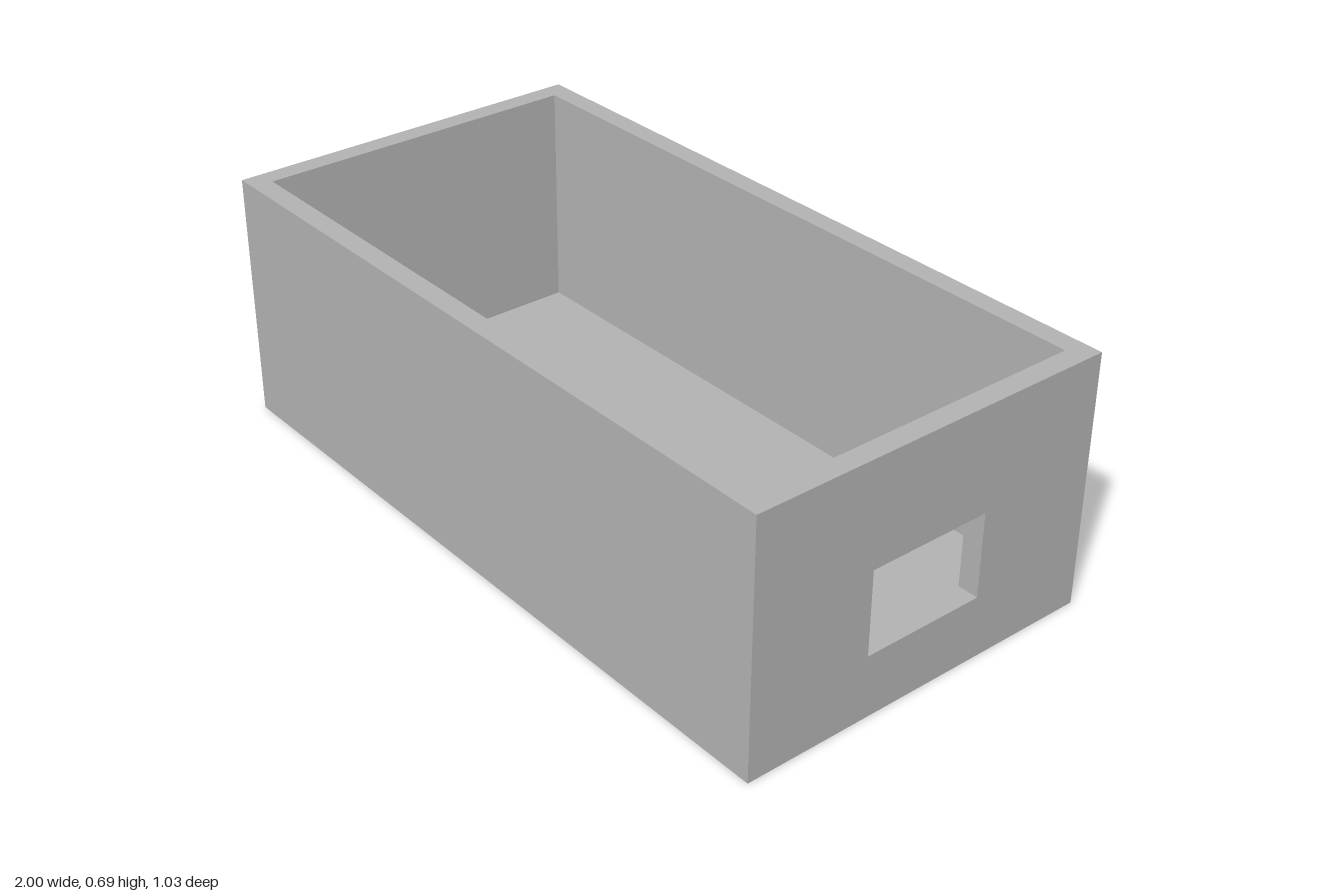
import * as THREE from 'three';

const U = 2 / 35; // wall thickness, the unit of all sizes
const L = 35 * U, H = 12 * U, W = 18 * U;

export function createModel() {
  const group = new THREE.Group();
  group.name = 'openBox';
  const grey = new THREE.MeshStandardMaterial({ color: 0xb2b2b2 });
  grey.name = 'grey';

  const add = (name, geometry, x, y, z) => {
    const mesh = new THREE.Mesh(geometry, grey);
    mesh.name = name;
    mesh.position.set(x, y, z);
    group.add(mesh);
  };

  // Floor slab with the walls standing on it
  const wallH = H - U, midY = U + wallH / 2;
  add('floor', new THREE.BoxGeometry(L, U, W), 0, U / 2, 0);
  for (const [name, s] of [['frontWall', 1], ['backWall', -1]]) {
    add(name, new THREE.BoxGeometry(L, wallH, U), 0, midY, s * (W - U) / 2);
  }
  add('rightEndWall', new THREE.BoxGeometry(U, wallH, W - 2 * U), -(L - U) / 2, midY, 0);

  // Left end wall with a rectangular opening
  const rect = (path, halfWidth, y0, y1) => path
    .moveTo(-halfWidth, y0).lineTo(halfWidth, y0)
    .lineTo(halfWidth, y1).lineTo(-halfWidth, y1).closePath();
  const shape = new THREE.Shape();
  rect(shape, W / 2 - U, U, H);
  const opening = new THREE.Path();
  rect(opening, 3 * U, 3 * U, 7 * U);
  shape.holes.push(opening);
  const endWall = new THREE.ExtrudeGeometry(shape, { depth: U, bevelEnabled: false });
  endWall.rotateY(Math.PI / 2);
  add('leftEndWall', endWall, L / 2 - U, 0, 0);

  return group;
}
